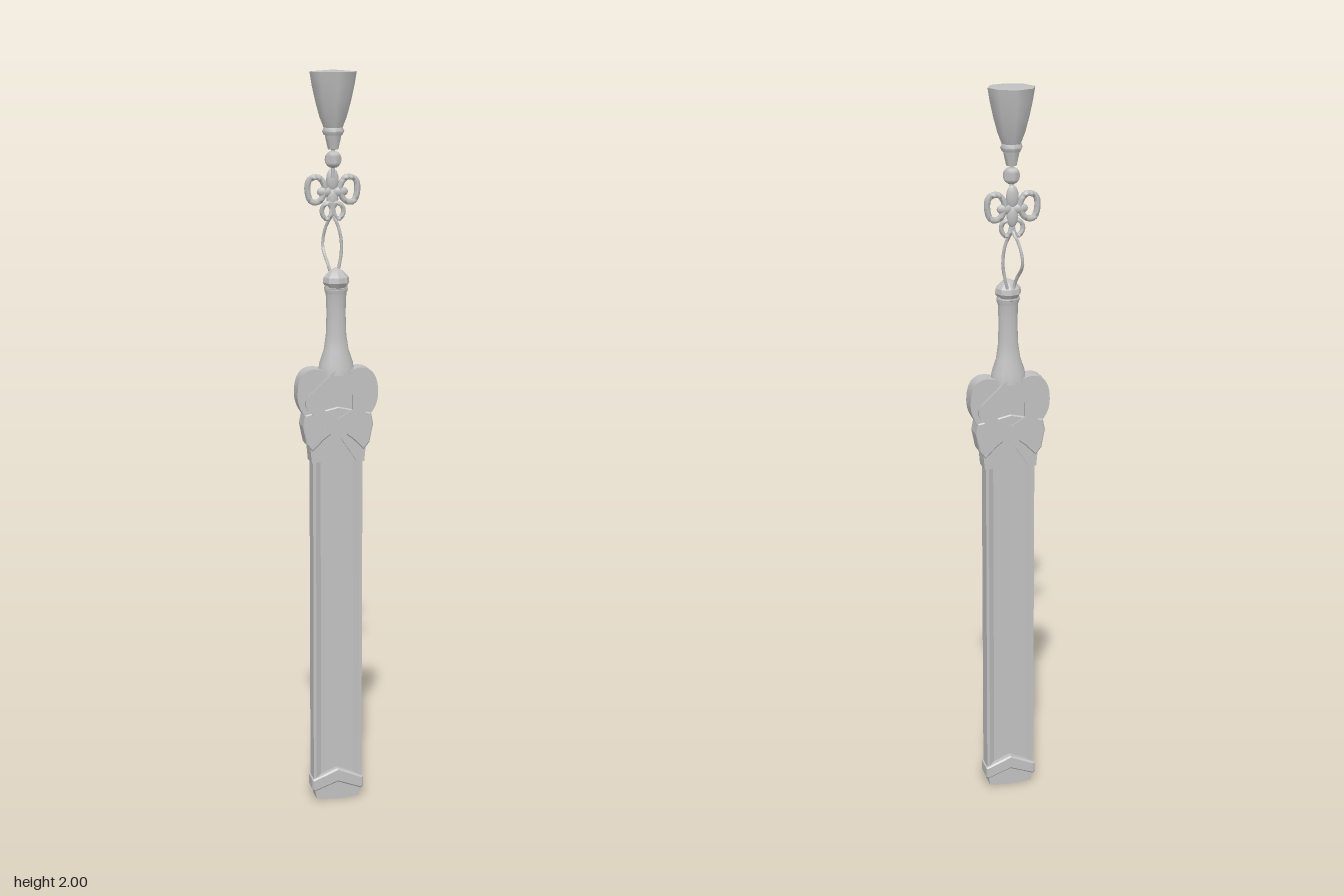
import * as THREE from 'three';
import { toCreasedNormals } from 'three/addons/utils/BufferGeometryUtils.js';

const CZ = 0.032; // depth of the sword's middle plane

export function createModel() {
  const model = new THREE.Group();
  const grey = new THREE.MeshStandardMaterial({ color: 0xc0c0c0 });

  function add(name, geometry, x = 0, y = 0, z = CZ, crease = 0.6) {
    const mesh = new THREE.Mesh(toCreasedNormals(geometry, crease), grey);
    mesh.name = name;
    mesh.position.set(x, y, z);
    model.add(mesh);
    return mesh;
  }
  const polygon = (pts) => new THREE.Shape(pts.map((p) => new THREE.Vector2(...p)));
  // Outline given for the +x half from bottom to top, mirrored to -x
  const mirrored = (pts) => polygon([...pts, ...pts.filter((p) => p[0] > 0).reverse().map(([x, y]) => [-x, y])]);
  // Plate centred on its own z = 0
  function plate(shape, half, bevel = 0) {
    const g = new THREE.ExtrudeGeometry(shape, {
      depth: 2 * (half - bevel), curveSegments: 8, bevelEnabled: bevel > 0,
      bevelSize: bevel, bevelThickness: bevel, bevelOffset: -bevel, bevelSegments: 1,
    });
    return g.translate(0, 0, -(half - bevel));
  }
  const lathe = (pts, sides) => new THREE.LatheGeometry(pts.map((p) => new THREE.Vector2(...p)), sides);
  const tube = (pts, radius, steps = 28, closed = true) => new THREE.TubeGeometry(
    new THREE.CatmullRomCurve3(pts.map((p) => new THREE.Vector3(...p)), closed), steps, radius, 6, closed);

  // Scabbard: raised rims slope down to a sunken panel on both faces
  const section = polygon([
    [-0.068, -0.023], [-0.06, -0.023], [-0.045, -0.012], [0.045, -0.012], [0.06, -0.023], [0.068, -0.023],
    [0.068, 0.023], [0.06, 0.023], [0.045, 0.012], [-0.045, 0.012], [-0.06, 0.023], [-0.068, 0.023],
  ]);
  const scabbard = new THREE.ExtrudeGeometry(section, { depth: 1.0, bevelEnabled: false });
  add('scabbard', scabbard.rotateX(-Math.PI / 2), 0, 0.035, CZ, 0.3);

  // Scabbard tip and its chevron band
  add('scabbardTip', plate(mirrored([[0, 0], [0.06, 0.005], [0.066, 0.045], [0, 0.07]]), 0.023));
  add('scabbardBand', plate(mirrored([[0, 0.052], [0.066, 0.028], [0.072, 0.034], [0.072, 0.062], [0, 0.092]]), 0.03, 0.004), 0, 0, CZ, 0.3);

  // Scabbard mouth with an inverted V cut
  add('scabbardMouth', plate(mirrored([[0, 1.045], [0.05, 0.97], [0.072, 0.968], [0.076, 1.01], [0.076, 1.08], [0, 1.1]]), 0.027));

  // Guard: lower wings and the rounded heart-shaped body
  add('guardWings', plate(mirrored([[0, 1.06], [0.04, 1.03], [0.07, 1.0], [0.086, 1.02], [0.096, 1.07], [0.09, 1.1], [0, 1.12]]), 0.03, 0.003), 0, 0, CZ, 0.3);
  const heart = new THREE.Shape();
  heart.moveTo(0, 1.04);
  heart.lineTo(0.07, 1.075);
  heart.bezierCurveTo(0.095, 1.1, 0.11, 1.12, 0.11, 1.155);
  heart.bezierCurveTo(0.11, 1.22, 0.075, 1.235, 0.03, 1.215);
  heart.lineTo(-0.03, 1.215);
  heart.bezierCurveTo(-0.075, 1.235, -0.11, 1.22, -0.11, 1.155);
  heart.bezierCurveTo(-0.11, 1.12, -0.095, 1.1, -0.07, 1.075);
  add('guardBody', plate(heart, 0.025));

  // Rounded diamond with a sunken hexagonal centre on both faces
  const diamond = new THREE.Shape();
  diamond.moveTo(0.018, -0.09);
  diamond.lineTo(0.08, -0.022);
  diamond.quadraticCurveTo(0.1, 0, 0.08, 0.022);
  diamond.lineTo(0.018, 0.08);
  diamond.quadraticCurveTo(0, 0.096, -0.018, 0.08);
  diamond.lineTo(-0.08, 0.022);
  diamond.quadraticCurveTo(-0.1, 0, -0.08, -0.022);
  diamond.lineTo(-0.018, -0.09);
  diamond.quadraticCurveTo(0, -0.108, 0.018, -0.09);
  diamond.holes.push(polygon([[0, -0.043], [-0.038, -0.02], [-0.038, 0.02], [0, 0.043], [0.038, 0.02], [0.038, -0.02]]));
  add('guardDiamond', plate(diamond, 0.035), 0, 1.132);

  // Handle, flattened front to back
  const handle = add('handle', lathe([
    [0, 1.2], [0.05, 1.205], [0.046, 1.235], [0.034, 1.27], [0.028, 1.31], [0.026, 1.37],
    [0.028, 1.42], [0.032, 1.43], [0.03, 1.445], [0, 1.446],
  ], 12));
  handle.scale.z = 0.76;
  add('pommel', lathe([[0, 1.434], [0.026, 1.436], [0.036, 1.45], [0.034, 1.464], [0.018, 1.481], [0, 1.49]], 8), 0, 0, CZ, 0.5);

  // Cord loop hanging between pommel neck and knot
  const side = (s) => [
    [0, 1.44, 0.01], [0.014 * s, 1.49, 0.008 + 0.002 * s], [0.021 * s, 1.54, -0.013 + 0.021 * s],
    [0.014 * s, 1.59, -0.011 + 0.016 * s], [0, 1.625, -0.008],
  ];
  for (const s of [-1, 1]) {
    add('cordStrand', tube(side(s).map(([x, y, z]) => [x, y, z - 0.003]), 0.0045, 16, false), 0, 0, 0, 1.2);
  }
  const neckLoop = add('neckCord', new THREE.TorusGeometry(0.028, 0.004, 6, 16).rotateX(Math.PI / 2), 0, 1.435, CZ - 0.002, 1.2);
  neckLoop.scale.z = 0.85;

  // Knot: clover centre, two big side loops and two small lower loops
  const KZ = -0.012;
  for (const [x, y, rx, ry] of [[0, 1.715, 0.017, 0.031], [-0.02, 1.684, 0.022, 0.014], [0.02, 1.684, 0.022, 0.014], [0, 1.665, 0.016, 0.03]]) {
    const petal = add('knotPetal', new THREE.SphereGeometry(1, 10, 8), x, y, KZ, 1.2);
    petal.scale.set(rx, ry, 0.009);
  }
  for (const s of [-1, 1]) {
    add('knotSideLoop', tube([
      [0.02 * s, 1.695, 0], [0.038 * s, 1.722, 0], [0.062 * s, 1.716, 0], [0.067 * s, 1.685, 0],
      [0.056 * s, 1.658, 0], [0.034 * s, 1.66, 0],
    ], 0.0085), 0, 0, KZ, 1.2);
    add('knotLowerLoop', tube([
      [0.004 * s, 1.655, 0], [0.024 * s, 1.648, 0], [0.029 * s, 1.63, 0], [0.017 * s, 1.612, 0], [0.005 * s, 1.622, 0],
    ], 0.0065, 20), 0, 0, KZ + 0.003, 1.2);
  }

  // Bead and short threads
  add('thread', new THREE.CylinderGeometry(0.006, 0.006, 0.1, 6), 0, 1.77, -0.005, 1.2);
  add('bead', new THREE.SphereGeometry(0.023, 12, 8), 0, 1.769, -0.003, 1.2);

  // Flaring tassel with a collar and a slightly hollow end
  add('tasselCap', lathe([[0, 1.793], [0.014, 1.795], [0.021, 1.825], [0.023, 1.836], [0, 1.838]], 8), 0, 0, -0.003, 0.9);
  add('tasselCollar', lathe([[0, 1.83], [0.025, 1.832], [0.03, 1.842], [0.025, 1.853], [0, 1.855]], 8), 0, 0, -0.003, 0.9);
  add('tassel', lathe([[0, 1.85], [0.025, 1.85], [0.037, 1.88], [0.048, 1.92], [0.057, 1.96], [0.063, 1.995], [0, 2.0]], 8), 0, 0, -0.003, 0.9);

  return model;
}
